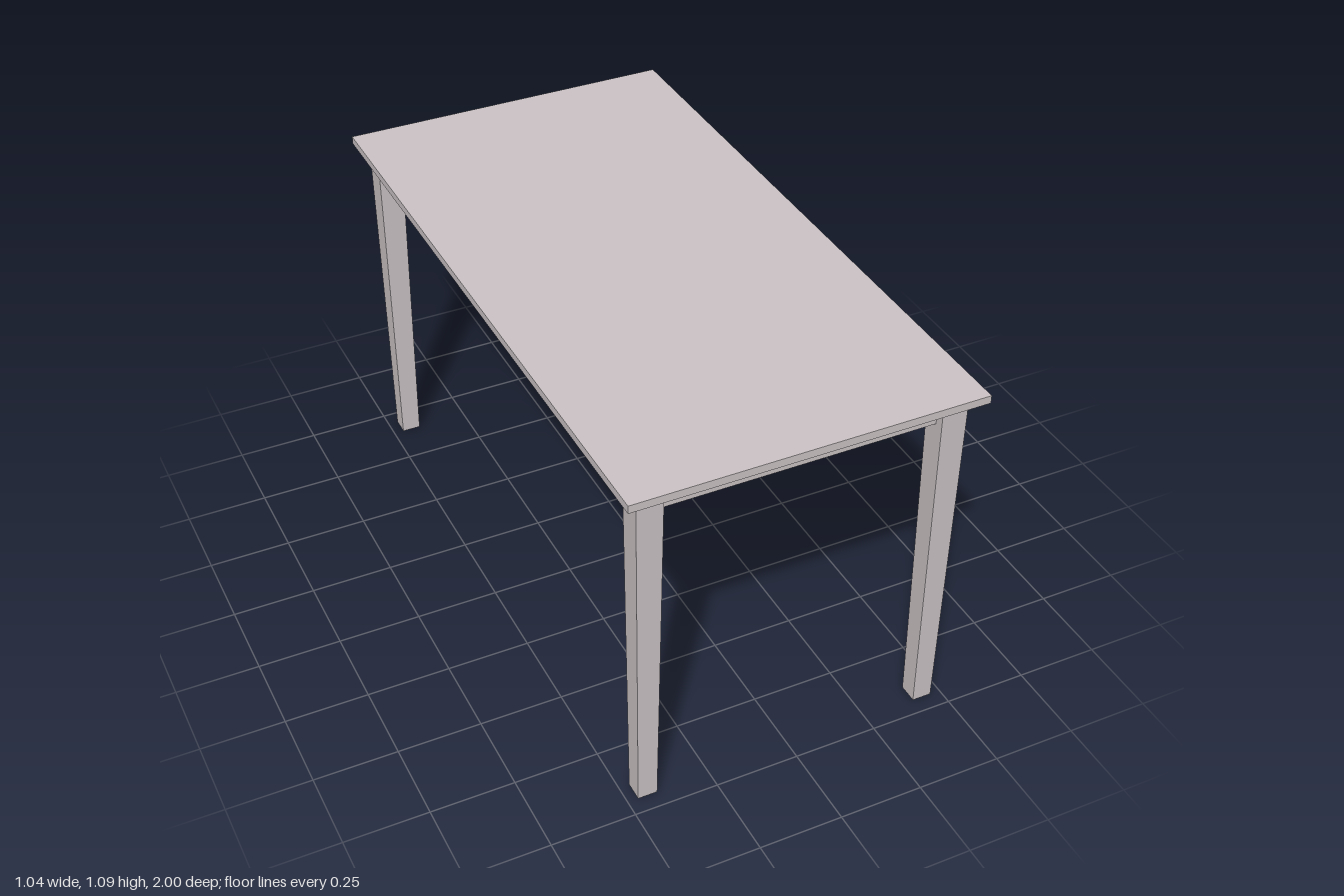
import * as THREE from 'three';

export function createModel() {
  const table = new THREE.Group();
  table.name = 'table';
  const material = new THREE.MeshStandardMaterial({ color: 0xccc4c6, flatShading: true });

  const add = (name, geometry, x, y, z) => {
    const mesh = new THREE.Mesh(geometry, material);
    mesh.name = name;
    mesh.position.set(x, y, z);
    table.add(mesh);
  };

  // Thin slab, with a hairline gap above the frame
  add('tableTop', new THREE.BoxGeometry(1.036, 0.024, 2), 0, 1.077, 0);

  // Square leg, tapering evenly towards the foot
  const legHeight = 1.061, legTop = 0.077, legFoot = 0.058;
  const leg = new THREE.BoxGeometry(legTop, legHeight, legTop);
  const p = leg.attributes.position;
  for (let i = 0; i < p.count; i++) {
    if (p.getY(i) < 0) {
      p.setX(i, p.getX(i) * legFoot / legTop);
      p.setZ(i, p.getZ(i) * legFoot / legTop);
    }
  }
  leg.computeVertexNormals();

  const legX = 0.4395, legZ = 0.9215;
  for (const [side, sx] of [['Left', 1], ['Right', -1]]) {
    for (const [end, sz] of [['front', 1], ['back', -1]]) {
      add(`${end}${side}Leg`, leg, sx * legX, legHeight / 2, sz * legZ);
    }
  }

  // Apron rails between the legs, flush with the legs' inner faces
  const railHeight = 0.07, railDepth = 0.05, railY = legHeight - railHeight / 2;
  const innerX = legX - legTop / 2, innerZ = legZ - legTop / 2;
  const endRail = new THREE.BoxGeometry(innerX * 2, railHeight, railDepth);
  const sideRail = new THREE.BoxGeometry(railDepth, railHeight, innerZ * 2);
  for (const s of [1, -1]) {
    add(s > 0 ? 'frontApron' : 'backApron', endRail, 0, railY, s * (innerZ + railDepth / 2));
    add(s > 0 ? 'leftApron' : 'rightApron', sideRail, s * (innerX + railDepth / 2), railY, 0);
  }

  return table;
}
